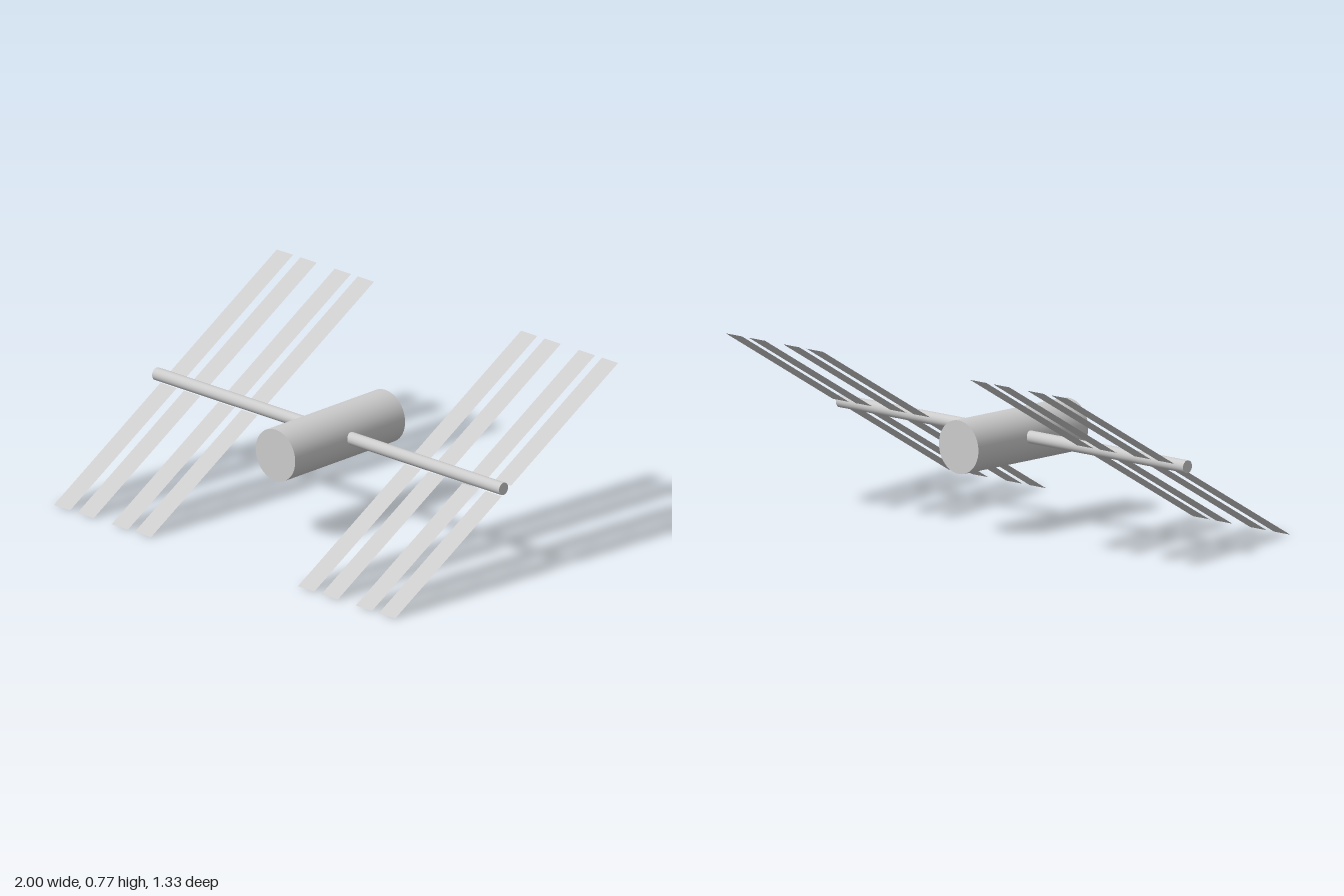
import * as THREE from 'three';

export function createModel() {
  const model = new THREE.Group();
  model.name = 'spaceStation';
  const grey = new THREE.MeshStandardMaterial({ color: 0xcccccc });
  const thin = new THREE.MeshStandardMaterial({ color: 0xcccccc, side: THREE.DoubleSide });

  const add = (name, geometry, material, x, y, z) => {
    const mesh = new THREE.Mesh(geometry, material);
    mesh.name = name;
    mesh.position.set(x, y, z);
    model.add(mesh);
    return mesh;
  };

  // Main module, lying along z
  add('body', new THREE.CylinderGeometry(0.113, 0.113, 0.656, 48).rotateX(Math.PI / 2),
    grey, 0.005, 0.378, 0.011);

  // Cross boom carrying the panels
  add('boom', new THREE.CylinderGeometry(0.027, 0.027, 1.985, 32).rotateZ(Math.PI / 2),
    grey, -0.0075, 0.39, 0);

  // Solar panels: paper-thin strips in one plane, low at the front, split at the boom
  const slope = Math.atan2(0.77, 1.332);
  const stripWidth = 0.093;
  const heightAt = (z) => (0.663 - z) * Math.tan(slope);
  const halves = [
    ['frontPanel', 0.026, 0.663],
    ['backPanel', -0.669, -0.029],
  ];
  for (const wingStart of [-0.953, 0.444]) {
    for (const offset of [0, 0.135, 0.331, 0.463]) {
      for (const [name, z0, z1] of halves) {
        const z = (z0 + z1) / 2;
        const strip = new THREE.PlaneGeometry(stripWidth, (z1 - z0) / Math.cos(slope));
        strip.rotateX(slope - Math.PI / 2);
        add(name, strip, thin, wingStart + offset + stripWidth / 2, heightAt(z), z);
      }
    }
  }

  return model;
}
